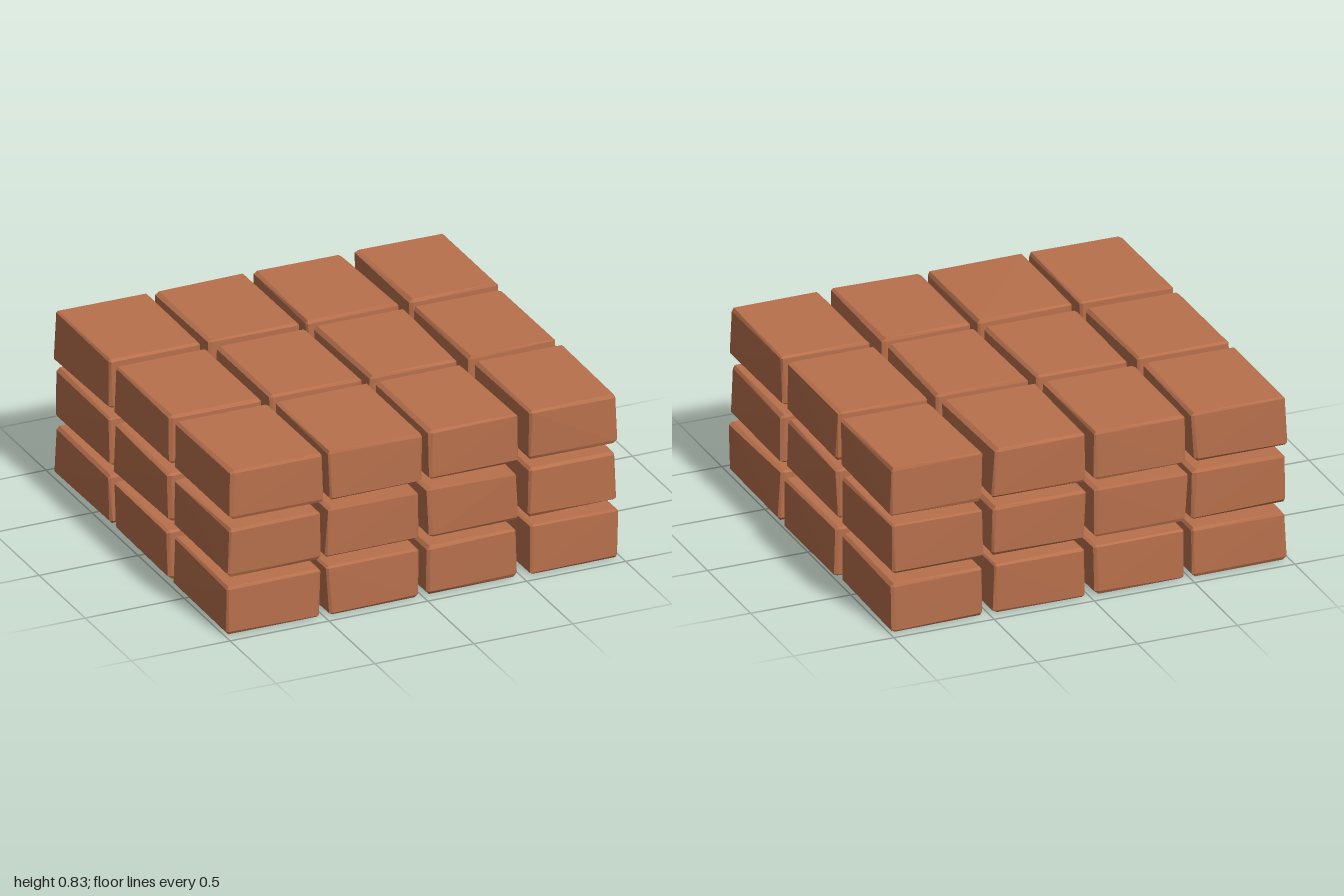
import * as THREE from 'three';
import { ConvexGeometry } from 'three/addons/geometries/ConvexGeometry.js';

// Left and right ends of the four bricks in a row
const COLUMNS = [[-0.99, -0.508], [-0.487, -0.005], [0.015, 0.488], [0.528, 0.992]];
const LAYERS = [0.125, 0.417, 0.708];
const ROWS = [-0.65, 0, 0.65];
const HEIGHT = 0.249;
const DEPTH = 0.6;

// Small seeded generator for the hand-cut unevenness
function seeded(seed) {
  return () => {
    seed = (seed * 16807) % 2147483647;
    return seed / 2147483647;
  };
}

// Box with uneven corners, each cut by a small chamfer
function brickGeometry(w, h, d, rand) {
  const points = [];
  for (const sx of [-1, 1]) for (const sy of [-1, 1]) for (const sz of [-1, 1]) {
    const x = w / 2 - 0.018 * rand();
    const y = h / 2 - 0.004 * rand();
    const z = d / 2 - 0.008 * rand();
    const cx = 0.008 + 0.014 * rand();
    const cy = 0.006 + 0.012 * rand();
    const cz = 0.004 + 0.008 * rand();
    points.push(
      new THREE.Vector3(sx * x, sy * (y - cy), sz * (z - cz)),
      new THREE.Vector3(sx * (x - cx), sy * y, sz * (z - cz)),
      new THREE.Vector3(sx * (x - cx), sy * (y - cy), sz * z),
    );
  }
  return new ConvexGeometry(points);
}

export function createModel() {
  const model = new THREE.Group();
  model.name = 'brickStack';
  const clay = new THREE.MeshStandardMaterial({ color: 0xb8704c });
  clay.name = 'clay';
  const rand = seeded(4711);

  // Three layers of three rows of four bricks
  LAYERS.forEach((y, layer) => {
    const course = new THREE.Group();
    course.name = `brickLayer${layer + 1}`;
    for (const z of ROWS) {
      for (const [x0, x1] of COLUMNS) {
        const brick = new THREE.Mesh(brickGeometry(x1 - x0, HEIGHT, DEPTH, rand), clay);
        brick.name = 'brick';
        brick.position.set((x0 + x1) / 2 + (rand() - 0.5) * 0.012, y, z);
        course.add(brick);
      }
    }
    model.add(course);
  });
  return model;
}
